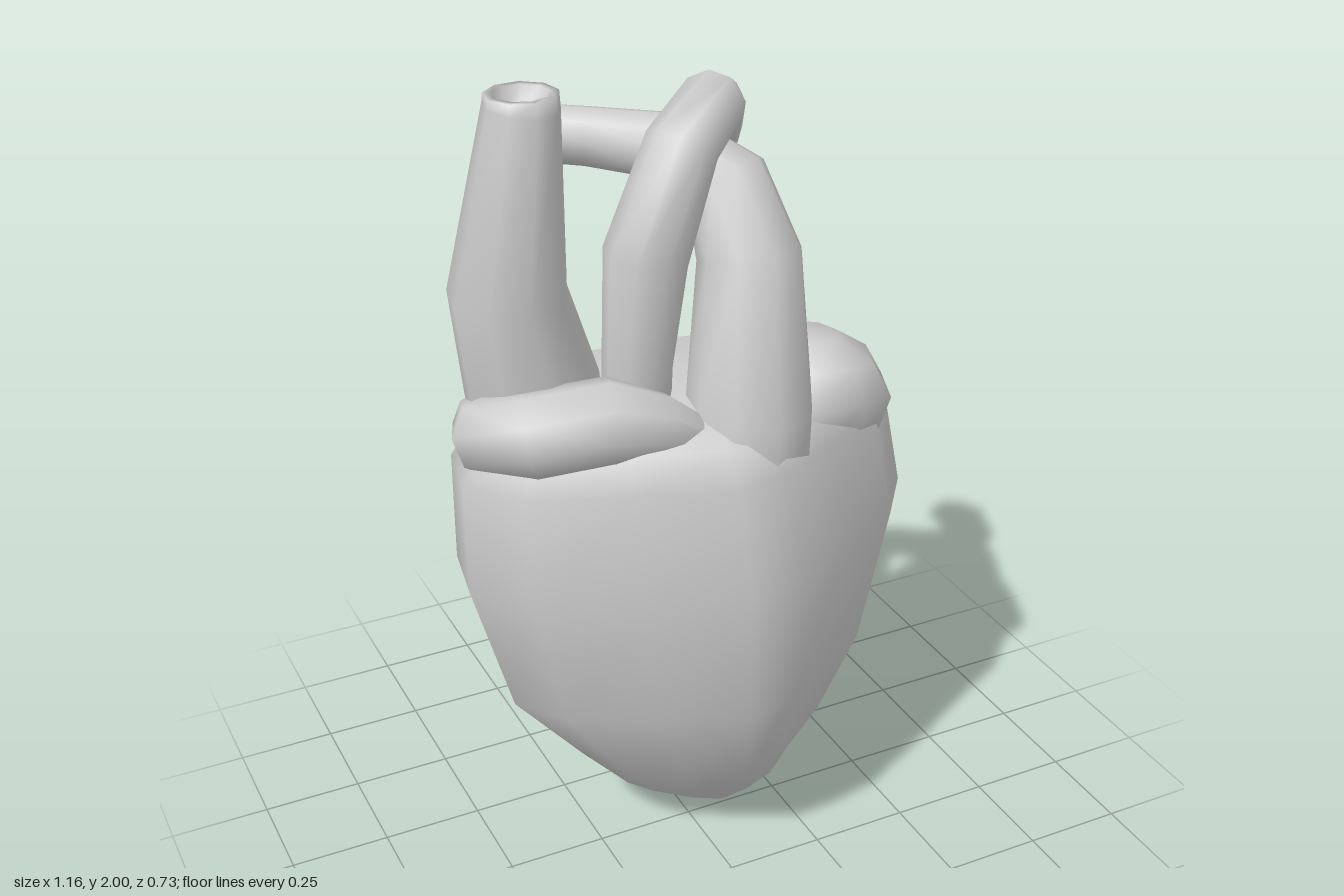
import * as THREE from 'three';

const material = new THREE.MeshStandardMaterial({ color: 0xcccccc, side: THREE.DoubleSide });

// Skin a list of equal-length rings (counter-clockwise around the direction of travel), closing both ends
function loft(rings) {
  const n = rings[0].length, last = rings.length - 1;
  const points = rings.flat(), index = [];
  for (let r = 0; r < last; r++) {
    for (let i = 0; i < n; i++) {
      const j = (i + 1) % n, a = r * n, b = a + n;
      index.push(a + i, a + j, b + j, a + i, b + j, b + i);
    }
  }
  for (const r of [0, last]) {
    const centre = points.length;
    points.push(rings[r].reduce((s, p) => s.add(p), new THREE.Vector3()).divideScalar(n));
    for (let i = 0; i < n; i++) {
      const a = r * n + i, b = r * n + (i + 1) % n;
      if (r === 0) index.push(centre, b, a);
      else index.push(centre, a, b);
    }
  }
  const g = new THREE.BufferGeometry().setFromPoints(points);
  g.setIndex(index);
  g.computeVertexNormals();
  return g;
}

// Tapered tube with one ring per station [x, y, z, radius]; a hollow one gets a recessed mouth at its far end
function vessel(stations, { hollow = true, sides = 9 } = {}) {
  const centres = stations.map(([x, y, z]) => new THREE.Vector3(x, y, z));
  const end = centres.length - 1;
  const tangent = new THREE.Vector3(), normal = new THREE.Vector3(0, 0, 1), binormal = new THREE.Vector3();
  const ring = (centre, radius) => Array.from({ length: sides }, (_, j) => {
    const a = j / sides * Math.PI * 2;
    return centre.clone()
      .addScaledVector(normal, Math.cos(a) * radius)
      .addScaledVector(binormal, Math.sin(a) * radius);
  });
  const rings = centres.map((c, i) => {
    tangent.subVectors(centres[Math.min(i + 1, end)], centres[Math.max(i - 1, 0)]).normalize();
    normal.addScaledVector(tangent, -normal.dot(tangent)).normalize();
    binormal.crossVectors(tangent, normal);
    return ring(c, stations[i][3]);
  });
  if (hollow) {
    const radius = stations[end][3];
    rings.push(ring(centres[end], radius * 0.76));
    rings.push(ring(centres[end].clone().addScaledVector(tangent, -0.06), radius * 0.6));
  }
  return loft(rings);
}

// Ventricles: one footprint stretched to the extents of each level
function ventricles() {
  const footprint = [
    [1, 0], [0.8, 0.42], [0.5, 0.65], [0.2, 0.93], [-0.06, 1], [-0.45, 0.75], [-0.83, 0.45], [-1, 0.1],
    [-0.95, -0.35], [-0.7, -0.85], [-0.38, -1], [0, -0.97], [0.3, -0.88], [0.6, -0.7], [0.85, -0.55],
  ].reverse();
  // y, xMin, xMax, zMin, zMax
  const levels = [
    [0, 0.09, 0.13, -0.03, -0.01],
    [0.05, -0.02, 0.27, -0.09, 0.04],
    [0.15, -0.17, 0.31, -0.2, 0.14],
    [0.3, -0.3, 0.385, -0.315, 0.265],
    [0.54, -0.49, 0.485, -0.34, 0.36],
    [0.88, -0.585, 0.58, -0.355, 0.37],
    [1.14, -0.575, 0.54, -0.36, 0.32],
    [1.22, -0.51, 0.49, -0.34, 0.27],
    [1.27, -0.36, 0.34, -0.25, 0.16],
  ];
  return loft(levels.map(([y, x0, x1, z0, z1]) => {
    const cx = THREE.MathUtils.lerp(x0, x1, 0.52), cz = THREE.MathUtils.lerp(z0, z1, 0.52);
    return footprint.map(([u, v]) => new THREE.Vector3(
      cx + u * (u < 0 ? cx - x0 : x1 - cx), y, cz + v * (v < 0 ? cz - z0 : z1 - cz)));
  }));
}

// Left auricle: a low cushion with a firm rim, sloping down toward the outside
function leftAuricle() {
  const outline = [
    [0.545, -0.03], [0.5, -0.2], [0.32, -0.26], [0.2, -0.17], [0.2, 0.05], [0.21, 0.2], [0.38, 0.18], [0.47, 0.14],
  ];
  const cx = 0.33, cz = -0.02;
  // y, scale about the centre
  const levels = [[1.06, 0.82], [1.19, 1], [1.27, 0.77], [1.32, 0.35]];
  return loft(levels.map(([y, s]) => outline.map(([x, z]) => {
    const dx = (x - cx) * s, dz = (z - cz) * s;
    return new THREE.Vector3(cx + dx, y - 0.12 * dx + 0.08 * dz, cz + dz);
  })));
}

export function createModel() {
  const group = new THREE.Group();
  const add = (name, geometry) => {
    const mesh = new THREE.Mesh(geometry, material);
    mesh.name = name;
    group.add(mesh);
  };

  add('ventricles', ventricles());
  add('leftAuricle', leftAuricle());

  // Large vein rising on the model's right
  add('venaCava', vessel([
    [-0.31, 1.0, -0.1, 0.15], [-0.35, 1.28, -0.1, 0.16], [-0.415, 1.55, -0.06, 0.135],
    [-0.37, 1.97, -0.04, 0.085], [-0.37, 2.0, -0.04, 0.082],
  ]));

  // Arch that climbs between the other vessels and bends to the back left
  add('aorta', vessel([
    [-0.13, 1.15, -0.01, 0.085], [-0.13, 1.32, 0.0, 0.083], [-0.11, 1.61, 0.015, 0.1],
    [-0.025, 1.85, 0.02, 0.085], [0.095, 1.9, -0.08, 0.076], [0.165, 1.85, -0.2, 0.072],
    [0.215, 1.76, -0.29, 0.062],
  ]));

  // Wide front trunk narrowing into a branch toward the back right
  add('pulmonaryTrunk', vessel([
    [0.06, 0.85, 0.08, 0.2], [0.09, 1.25, 0.14, 0.15], [0.12, 1.59, 0.07, 0.122],
    [0.1, 1.73, -0.015, 0.105], [0.02, 1.8, -0.12, 0.08], [-0.15, 1.82, -0.215, 0.068],
    [-0.31, 1.83, -0.305, 0.066],
  ]));

  // Auricle wrapped round the front right shoulder
  add('rightAuricle', vessel([
    [-0.45, 1.19, -0.17, 0.07], [-0.49, 1.235, -0.01, 0.095], [-0.42, 1.265, 0.085, 0.1],
    [-0.26, 1.285, 0.13, 0.1], [-0.14, 1.255, 0.15, 0.075], [-0.03, 1.21, 0.16, 0.035],
  ], { hollow: false, sides: 8 }));

  return group;
}
